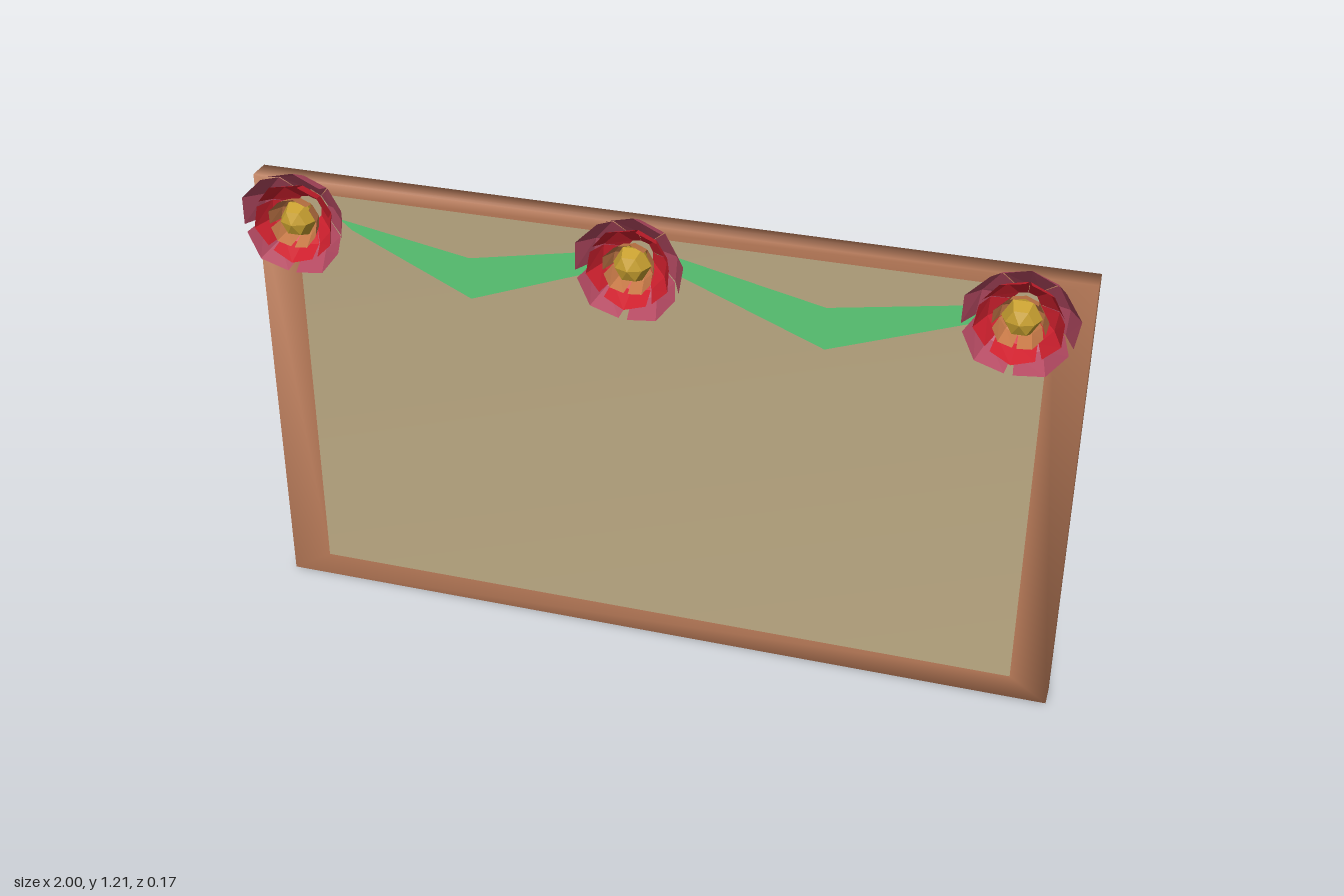
import * as THREE from 'three';

const BOARD = 0xb87a58, PANEL = 0xbaa882, LEAF = 0x5ccc78;
const PINK = 0xb54a62, RED = 0xd0202e, ORANGE = 0xc87a48, GOLD = 0xc8a030;

function mesh(name, geometry, color, options = {}) {
  const m = new THREE.Mesh(geometry, new THREE.MeshStandardMaterial({ color, ...options }));
  m.name = name;
  return m;
}

// Board: three rectangular loops (back, front rim, sunken panel edge) sharing smooth normals
function makeBoard() {
  const loops = [
    [-1, 1, 0, 1.145, -0.083],
    [-1, 1, 0, 1.145, -0.025],
    [-0.908, 0.905, 0.045, 1.105, -0.047],
  ];
  const points = loops.flatMap(([x0, x1, y0, y1, z]) => [x0, y0, z, x1, y0, z, x1, y1, z, x0, y1, z]);
  const frameIndex = [0, 2, 1, 0, 3, 2];
  for (let l = 0; l < 2; l++) {
    for (let i = 0; i < 4; i++) {
      const a = l * 4 + i, b = l * 4 + (i + 1) % 4;
      frameIndex.push(a, b, b + 4, a, b + 4, a + 4);
    }
  }
  const panelIndex = [8, 9, 10, 8, 10, 11];

  const whole = new THREE.BufferGeometry();
  whole.setAttribute('position', new THREE.Float32BufferAttribute(points, 3));
  whole.setIndex([...frameIndex, ...panelIndex]);
  whole.computeVertexNormals();
  const part = (index) => whole.clone().setIndex(index);

  const board = new THREE.Group();
  board.name = 'board';
  board.add(mesh('frame', part(frameIndex), BOARD), mesh('panel', part(panelIndex), PANEL));
  return board;
}

// Cupped petal pointing along +x, opening towards +z
function petalGeometry() {
  // [edge radius, middle radius, half width, edge z, middle z]
  const rows = [
    [0.035, 0.045, 0.025, -0.025, -0.025],
    [0.085, 0.102, 0.06, 0.022, 0.02],
    [0.108, 0.134, 0.066, 0.078, 0.083],
  ];
  const points = rows.flatMap(([re, rm, w, ze, zm]) => [re, -w, ze, rm, 0, zm, re, w, ze]);
  const index = [];
  for (let r = 0; r < 2; r++) {
    for (let i = 0; i < 2; i++) {
      const a = r * 3 + i;
      index.push(a, a + 1, a + 4, a, a + 4, a + 3);
    }
  }
  const g = new THREE.BufferGeometry();
  g.setAttribute('position', new THREE.Float32BufferAttribute(points, 3));
  g.setIndex(index);
  const flat = g.toNonIndexed();
  flat.computeVertexNormals();
  return flat;
}

function makeFlower(x) {
  const flower = new THREE.Group();
  flower.name = 'flower';
  const petal = petalGeometry();
  // [name, colour, radial scale, depth scale, depth offset, turn in degrees]
  const rings = [
    ['outerPetal', PINK, 1, 1, 0, 84],
    ['middlePetal', RED, 0.76, 0.86, 0.008, 48],
    ['innerPetal', ORANGE, 0.48, 0.72, 0.02, 84],
  ];
  for (const [name, color, s, depth, dz, turn] of rings) {
    for (let i = 0; i < 5; i++) {
      const p = mesh(name, petal, color, { side: THREE.DoubleSide, flatShading: true });
      p.scale.set(s, s, depth);
      p.position.z = dz;
      p.rotation.z = THREE.MathUtils.degToRad(turn + i * 72);
      flower.add(p);
    }
  }
  // Faceted golden heart
  const heart = mesh('heart', new THREE.SphereGeometry(0.045, 6, 4), GOLD, { flatShading: true });
  heart.rotation.x = Math.PI / 2;
  heart.position.z = 0.042;
  flower.add(heart);
  flower.position.set(x, 1.08, 0);
  return flower;
}

// Flat leaf garland sagging between two flowers
function makeGarland(outline) {
  const shape = new THREE.Shape(outline.map(([x, y]) => new THREE.Vector2(x, y)));
  const garland = mesh('garland', new THREE.ShapeGeometry(shape), LEAF, { side: THREE.DoubleSide });
  garland.position.z = -0.038;
  return garland;
}

export function createModel() {
  const model = new THREE.Group();
  model.name = 'decoratedBoard';
  model.add(makeBoard());
  for (const x of [-0.855, -0.03, 0.85]) model.add(makeFlower(x));
  model.add(
    makeGarland([[-0.79, 1.05], [-0.76, 1.025], [-0.46, 0.885], [-0.05, 1.04], [-0.05, 1.075], [-0.46, 0.993]]),
    makeGarland([[0, 1.08], [0, 1.045], [0.405, 0.885], [0.82, 1.035], [0.82, 1.065], [0.405, 0.993]]),
  );
  return model;
}
